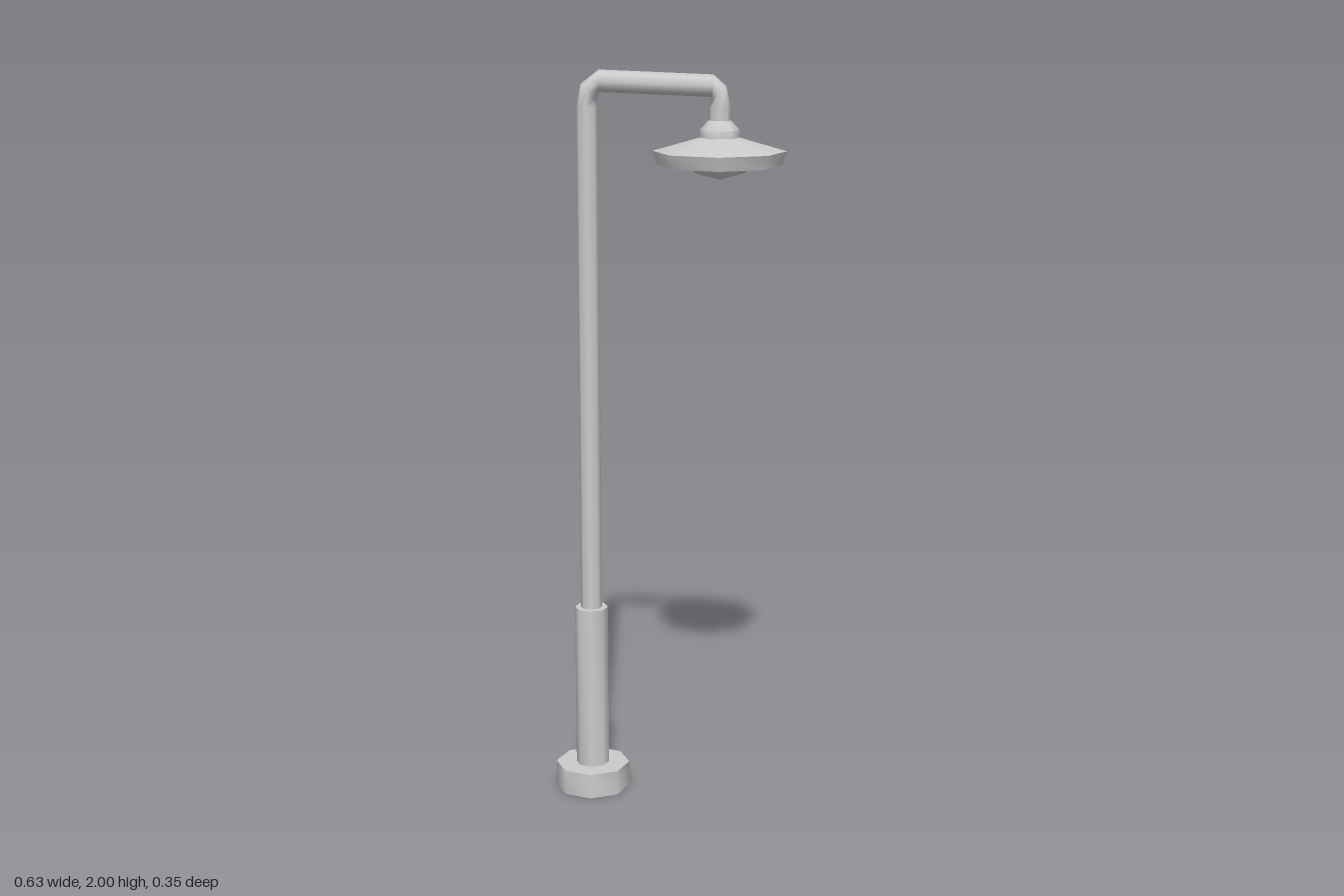
import * as THREE from 'three';
import { toCreasedNormals } from 'three/addons/utils/BufferGeometryUtils.js';

const SIDES = 8;
const POLE_X = -0.212, LAMP_X = 0.136, PIPE_R = 0.029;
const material = new THREE.MeshStandardMaterial({ color: 0xcccccc });

// Eight-sided turned part; profile runs from bottom to top as [radius, y]
function turned(name, x, profile) {
  const points = profile.map(([r, y]) => new THREE.Vector2(r, y));
  const geometry = toCreasedNormals(new THREE.LatheGeometry(points, SIDES), 0.87);
  const mesh = new THREE.Mesh(geometry, material);
  mesh.name = name;
  mesh.position.x = x;
  return mesh;
}

// Bent pipe: each ring is [x, y, lean], lean in degrees from straight up towards +x
function bentPipe(name, rings) {
  const segs = rings.length - 1;
  const geometry = new THREE.CylinderGeometry(1, 1, segs, SIDES, segs, true);
  const pos = geometry.attributes.position, nor = geometry.attributes.normal;
  for (let i = 0; i < pos.count; i++) {
    const [x, y, lean] = rings[Math.round(pos.getY(i) + segs / 2)];
    const a = THREE.MathUtils.degToRad(lean);
    const n = new THREE.Vector3(pos.getX(i) * Math.cos(a), -pos.getX(i) * Math.sin(a), pos.getZ(i));
    nor.setXYZ(i, n.x, n.y, n.z);
    pos.setXYZ(i, x + n.x * PIPE_R, y + n.y * PIPE_R, n.z * PIPE_R);
  }
  const mesh = new THREE.Mesh(geometry, material);
  mesh.name = name;
  return mesh;
}

export function createModel() {
  const model = new THREE.Group();
  model.name = 'streetLamp';

  // Foot and the thicker lower sleeve
  model.add(turned('base', POLE_X, [[0, 0], [0.103, 0], [0.103, 0.07], [0, 0.07]]));
  model.add(turned('sleeve', POLE_X, [[0.046, 0.07], [0.046, 0.53], [0, 0.53]]));

  // Pole, arm and drop to the lamp in one pipe
  model.add(bentPipe('poleAndArm', [
    [POLE_X, 0.5, 0], [POLE_X, 1.905, 0], [-0.207, 1.943, 45], [-0.18, 1.971, 90],
    [0.118, 1.959, 92], [0.132, 1.938, 135], [LAMP_X, 1.905, 180], [LAMP_X, 1.85, 180],
  ]));

  // Lamp head
  const lamp = new THREE.Group();
  lamp.name = 'lampHead';
  lamp.add(turned('shade', LAMP_X, [[0, 1.753], [0.165, 1.753], [0.177, 1.79], [0.05, 1.826], [0, 1.826]]));
  lamp.add(turned('collar', LAMP_X, [[0.052, 1.82], [0.052, 1.845], [0.03, 1.87], [0, 1.87]]));
  lamp.add(turned('bulb', LAMP_X, [[0, 1.715], [0.065, 1.732], [0.09, 1.756]]));
  model.add(lamp);

  return model;
}
